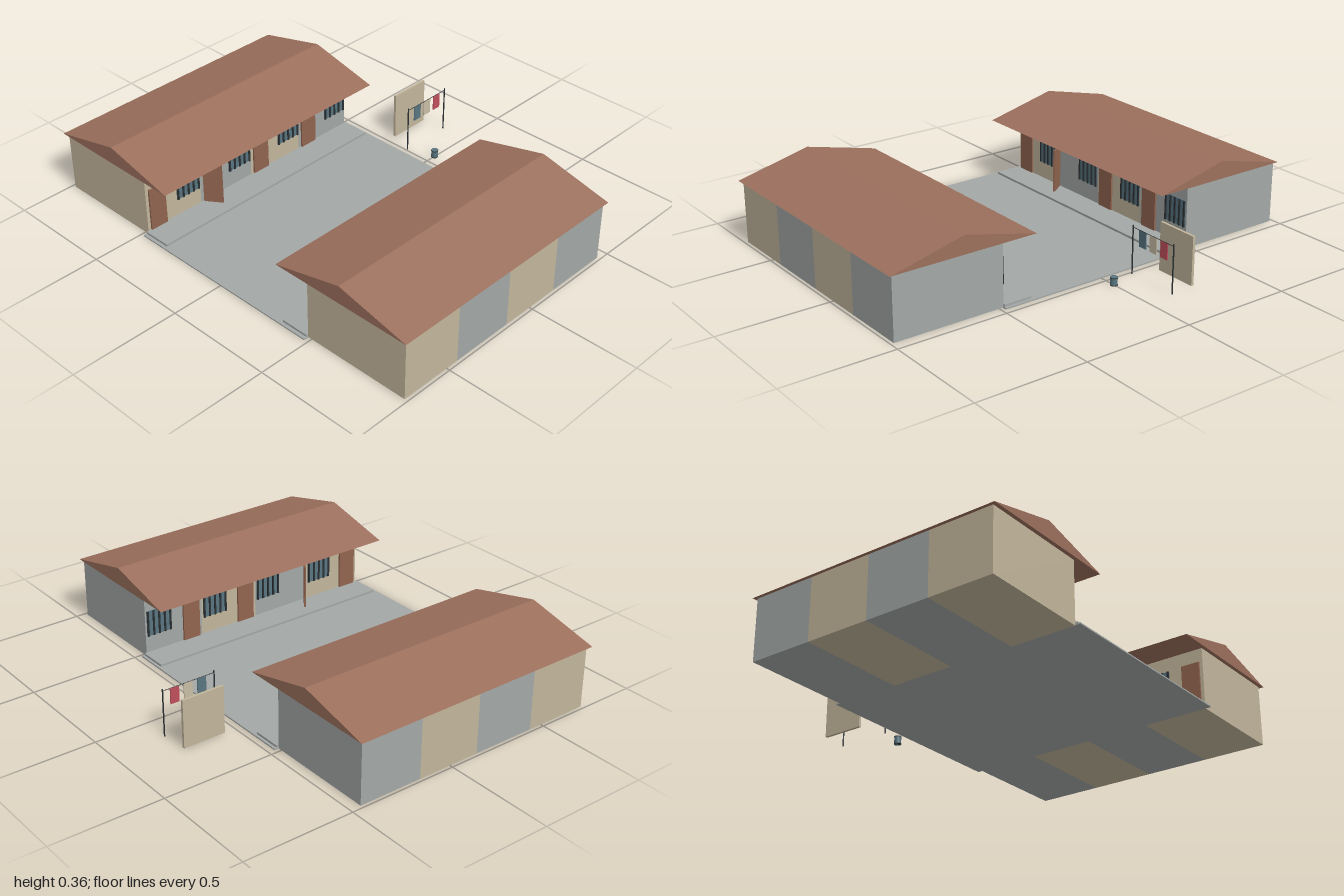
import * as THREE from 'three';

const mat = (name, color) => {
  const m = new THREE.MeshStandardMaterial({ color });
  m.name = name;
  return m;
};

export function createModel() {
  const grey = mat('grey plaster', 0xa3a8a6);
  const tan = mat('tan plaster', 0xc2b59b);
  const brick = mat('brick roof', 0x9c705d);
  const wood = mat('door wood', 0x91644f);
  const glass = mat('blue grey', 0x587580);
  const iron = mat('dark iron', 0x2c3134);
  const cloth = mat('pale cloth', 0xc8bda4);
  const red = mat('red cloth', 0xbf4f5c);

  const root = new THREE.Group();
  root.name = 'courtyardHouses';

  // Box given by its limits on each axis
  const box = (parent, name, m, x0, x1, y0, y1, z0, z1) => {
    const mesh = new THREE.Mesh(new THREE.BoxGeometry(x1 - x0, y1 - y0, z1 - z0), m);
    mesh.position.set((x0 + x1) / 2, (y0 + y1) / 2, (z0 + z1) / 2);
    mesh.name = name;
    parent.add(mesh);
    return mesh;
  };

  // Courtyard slab
  box(root, 'courtyard', grey, -0.76, 0.472, 0, 0.006, -0.483, 0.483);

  // One row of four homes with its facade at local z = 0.48 facing the yard;
  // side = 1 is the front row, side = -1 its mirror image
  const unitWidth = 0.2963, startX = -0.735;
  const makeRow = (side, name) => {
    const row = new THREE.Group();
    row.name = name;
    root.add(row);
    const part = (n, m, x0, x1, y0, y1, za, zb) =>
      box(row, n, m, x0, x1, y0, y1, Math.min(za * side, zb * side), Math.max(za * side, zb * side));

    part('porch', grey, -0.745, 0.46, 0.006, 0.016, 0.35, 0.48);

    for (let i = 0; i < 4; i++) {
      const x = startX + i * unitWidth;
      part('homeWalls', i % 2 ? grey : tan, x, x + unitWidth, 0, 0.281, 0.48, 0.985);

      // Door, the second one standing open
      const hinge = new THREE.Group();
      hinge.name = 'doorHinge';
      hinge.position.set(x + 0.015, 0, 0.476 * side);
      if (i === 1) hinge.rotation.y = side * 0.96;
      row.add(hinge);
      box(hinge, 'door', wood, 0, 0.086, 0.017, 0.218, -0.004, 0.004);

      // Barred window
      const w0 = x + 0.165, w1 = x + 0.288, y0 = 0.095, y1 = 0.215;
      part('windowPane', glass, w0, w1, y0, y1, 0.476, 0.481);
      for (let b = 0; b < 5; b++) {
        const bx = w0 + 0.004 + b * (w1 - w0 - 0.008) / 4;
        part('windowBar', iron, bx - 0.004, bx + 0.004, y0, y1, 0.471, 0.477);
      }
    }

    // Gabled roof as an extruded triangle
    const shape = new THREE.Shape([
      new THREE.Vector2(-1.0, 0.281), new THREE.Vector2(-0.325, 0.281), new THREE.Vector2(-0.663, 0.362),
    ]);
    const geo = new THREE.ExtrudeGeometry(shape, { depth: 1.215, bevelEnabled: false });
    geo.rotateY(Math.PI / 2);
    if (side < 0) geo.rotateY(Math.PI);
    const roof = new THREE.Mesh(geo, brick);
    roof.position.x = side > 0 ? -0.752 : 0.463;
    roof.name = 'roof';
    row.add(roof);
  };
  makeRow(1, 'frontRow');
  makeRow(-1, 'backRow');

  // Free-standing screen wall
  box(root, 'screenWall', tan, 0.55, 0.746, 0, 0.217, -0.255, -0.243);

  // Clothes line with washing
  const line = new THREE.Group();
  line.name = 'clothesLine';
  root.add(line);
  const rod = (n, r, length, x, y) => {
    const mesh = new THREE.Mesh(new THREE.CylinderGeometry(r, r, length, 8), iron);
    mesh.position.set(x, y, -0.13);
    mesh.name = n;
    line.add(mesh);
    return mesh;
  };
  rod('pole', 0.003, 0.217, 0.51, 0.1085);
  rod('pole', 0.003, 0.217, 0.757, 0.1085);
  rod('wire', 0.0015, 0.247, 0.6335, 0.208).rotation.z = Math.PI / 2;
  [glass, cloth, red].forEach((m, i) => {
    const x = 0.55 + i * 0.065;
    box(line, 'washing', m, x, x + 0.042, 0.136, 0.208, -0.132, -0.128);
  });

  // Water barrel with dark rim bands
  const barrel = new THREE.Group();
  barrel.name = 'barrel';
  barrel.position.set(0.55, 0, 0);
  root.add(barrel);
  const drum = (n, m, r, h, y) => {
    const mesh = new THREE.Mesh(new THREE.CylinderGeometry(r, r, h, 14), m);
    mesh.position.y = y;
    mesh.name = n;
    barrel.add(mesh);
  };
  drum('barrelBody', glass, 0.0155, 0.037, 0.0185);
  drum('barrelBand', iron, 0.0165, 0.003, 0.0015);
  drum('barrelBand', iron, 0.0165, 0.003, 0.034);

  return root;
}
